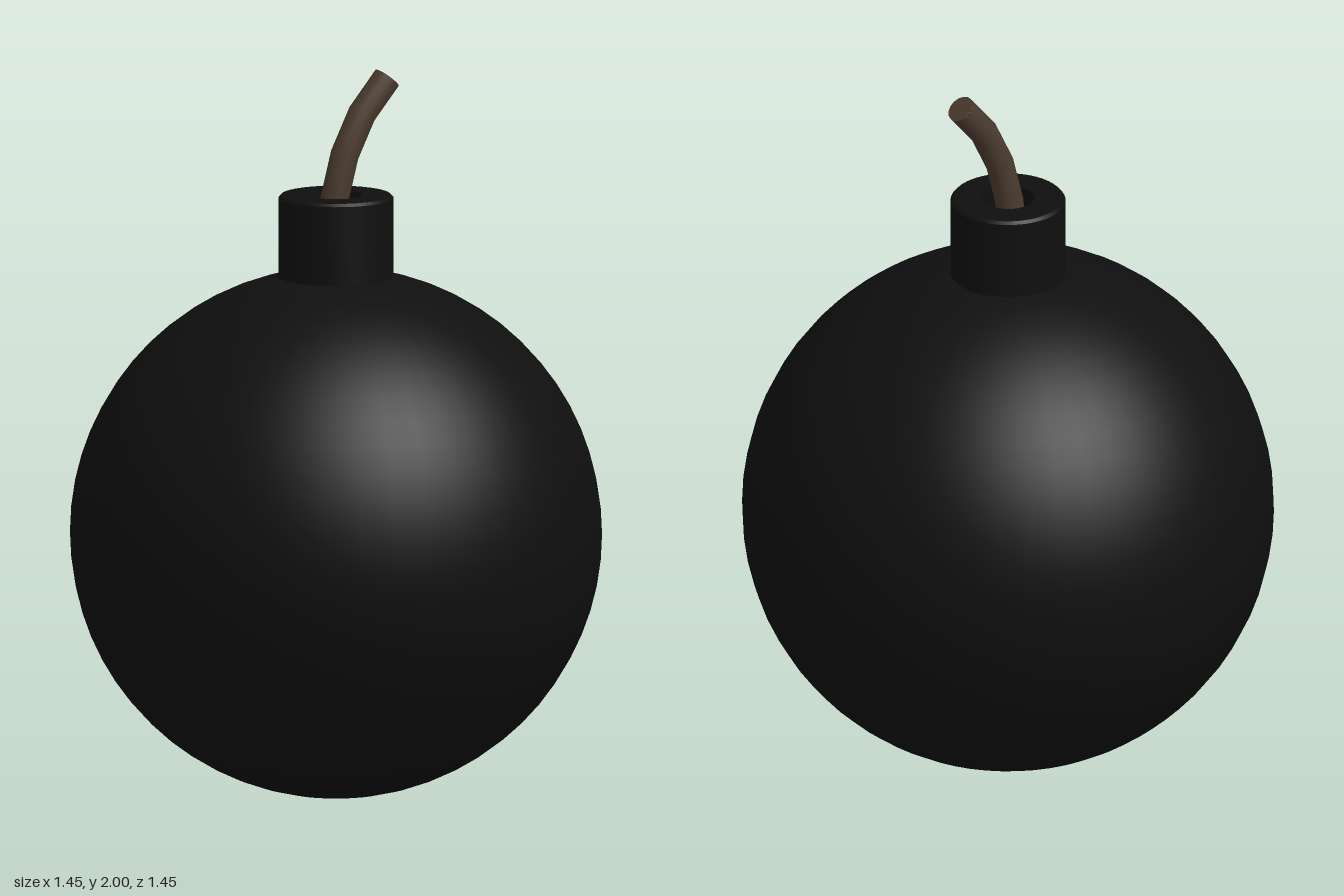
import * as THREE from 'three';
import { toCreasedNormals } from 'three/addons/utils/BufferGeometryUtils.js';

export function createModel() {
  const group = new THREE.Group();
  const iron = new THREE.MeshStandardMaterial({ color: 0x0f0f0f });
  const cord = new THREE.MeshStandardMaterial({ color: 0x4a3a2e });

  const add = (name, geometry, material, parent = group) => {
    const mesh = new THREE.Mesh(geometry, material);
    mesh.name = name;
    parent.add(mesh);
    return mesh;
  };

  // Round body resting on the ground
  const R = 0.726;
  add('body', new THREE.SphereGeometry(R, 48, 32), iron).position.y = R;

  // Collar: outer wall, small bevel, flat rim and a recessed socket for the fuse
  const profile = [
    [0.157, 1.38], [0.157, 1.652], [0.15, 1.66], [0.073, 1.66], [0.073, 1.56], [0, 1.56],
  ].map(([r, y]) => new THREE.Vector2(r, y));
  add('collar', toCreasedNormals(new THREE.LatheGeometry(profile, 48), 0.6), iron);

  // Bent fuse, leaning backwards and slightly sideways
  const fuse = new THREE.Group();
  fuse.name = 'fuse';
  group.add(fuse);
  const path = new THREE.CatmullRomCurve3([
    new THREE.Vector3(-0.008, 1.53, 0.01),
    new THREE.Vector3(-0.003, 1.65, 0.002),
    new THREE.Vector3(0.006, 1.77, -0.025),
    new THREE.Vector3(0.014, 1.88, -0.078),
    new THREE.Vector3(0.022, 1.971, -0.155),
  ]);
  const radius = 0.039;
  add('fuseCord', new THREE.TubeGeometry(path, 4, radius, 16), cord, fuse);

  // Flat cut end of the fuse
  const tip = add('fuseTip', new THREE.CircleGeometry(radius, 16), cord, fuse);
  tip.position.copy(path.getPoint(1));
  tip.quaternion.setFromUnitVectors(new THREE.Vector3(0, 0, 1), path.getTangent(1));

  return group;
}
